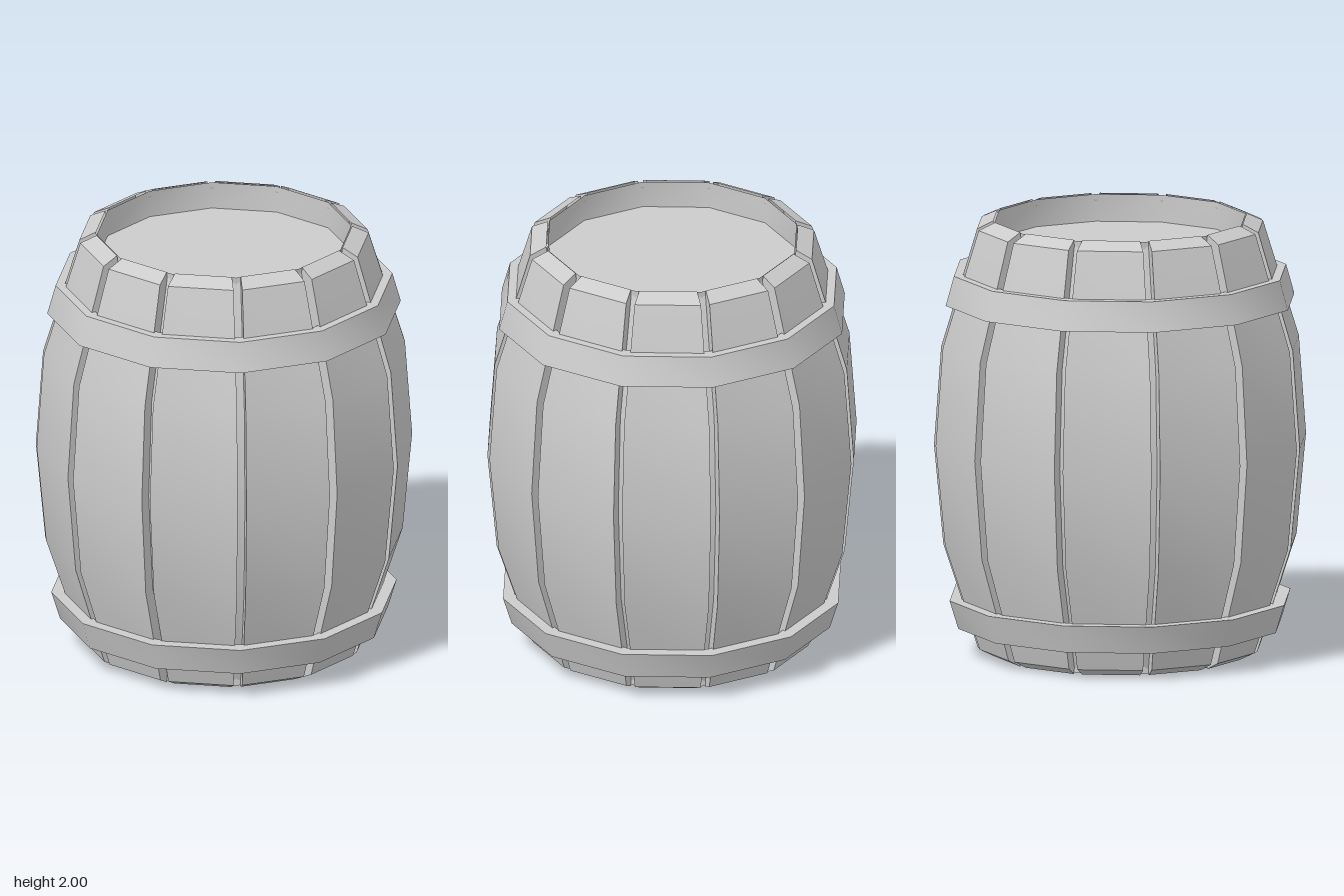
import * as THREE from 'three';
import { toCreasedNormals } from 'three/addons/utils/BufferGeometryUtils.js';

const SIDES = 12;
const STEP = (Math.PI * 2) / SIDES;
const HALF_GAP = 0.02;

// Corner radius and height, bottom to top: stave surface and the groove floor behind it
const STAVE = [[0.58, 0], [0.65, 0.035], [0.81, 0.52], [0.853, 0.98], [0.82, 1.43], [0.655, 1.965], [0.58, 2]];
const FLOOR = [[0.575, 0.03], [0.585, 0.06], [0.735, 0.52], [0.778, 0.98], [0.745, 1.43], [0.585, 1.94], [0.575, 1.97]];

const material = new THREE.MeshStandardMaterial({ color: 0xcccccc, side: THREE.DoubleSide });

function addMesh(parent, name, geometry) {
  const mesh = new THREE.Mesh(toCreasedNormals(geometry, 0.56), material);
  mesh.name = name;
  parent.add(mesh);
  return mesh;
}

// A profile standing on the ray at angle a, shifted sideways by offset
function standProfile(profile, a, offset) {
  const c = Math.cos(a), s = Math.sin(a);
  return profile.map(([r, y]) => [r * c - offset * s, y, r * s + offset * c]);
}

// Joins neighbouring upright lines with quads
function skinLines(lines) {
  const pos = [];
  for (let i = 0; i < lines.length - 1; i++) {
    const a = lines[i], b = lines[i + 1];
    for (let j = 0; j < a.length - 1; j++) {
      pos.push(...a[j], ...a[j + 1], ...b[j + 1], ...a[j], ...b[j + 1], ...b[j]);
    }
  }
  const g = new THREE.BufferGeometry();
  g.setAttribute('position', new THREE.Float32BufferAttribute(pos, 3));
  g.computeVertexNormals();
  return g;
}

// Twelve-sided ring from a profile
function ring(points) {
  return new THREE.LatheGeometry(points.map(([r, y]) => new THREE.Vector2(r, y)), SIDES);
}

export function createModel() {
  const barrel = new THREE.Group();
  barrel.name = 'barrel';

  // Staves: raised plank with its two side walls, plus the groove beside it
  const staves = new THREE.Group();
  staves.name = 'staves';
  barrel.add(staves);
  const plank = skinLines([
    standProfile(FLOOR, 0, HALF_GAP),
    standProfile(STAVE, 0, HALF_GAP),
    standProfile(STAVE, STEP, -HALF_GAP),
    standProfile(FLOOR, STEP, -HALF_GAP),
  ]);
  const groove = skinLines([
    standProfile(FLOOR, 0, -HALF_GAP),
    standProfile(FLOOR, 0, HALF_GAP),
  ]);
  for (let i = 0; i < SIDES; i++) {
    addMesh(staves, 'stave', plank).rotation.y = i * STEP;
    addMesh(staves, 'groove', groove).rotation.y = i * STEP;
  }

  // Inner lips at both ends; the bottom is open
  addMesh(barrel, 'topLip', ring([[0.578, 1.87], [0.578, 1.995]]));
  addMesh(barrel, 'bottomLip', ring([[0.578, 0.005], [0.578, 0.13]]));

  // Recessed lid
  const lid = addMesh(barrel, 'lid', new THREE.CircleGeometry(0.578, SIDES));
  lid.rotation.x = -Math.PI / 2;
  lid.position.y = 1.87;

  // Flared hoops, closed in section
  addMesh(barrel, 'upperHoop', ring([[0.745, 1.62], [0.803, 1.62], [0.765, 1.755], [0.705, 1.755], [0.745, 1.62]]));
  addMesh(barrel, 'lowerHoop', ring([[0.67, 0.13], [0.745, 0.13], [0.785, 0.26], [0.715, 0.26], [0.67, 0.13]]));

  return barrel;
}
